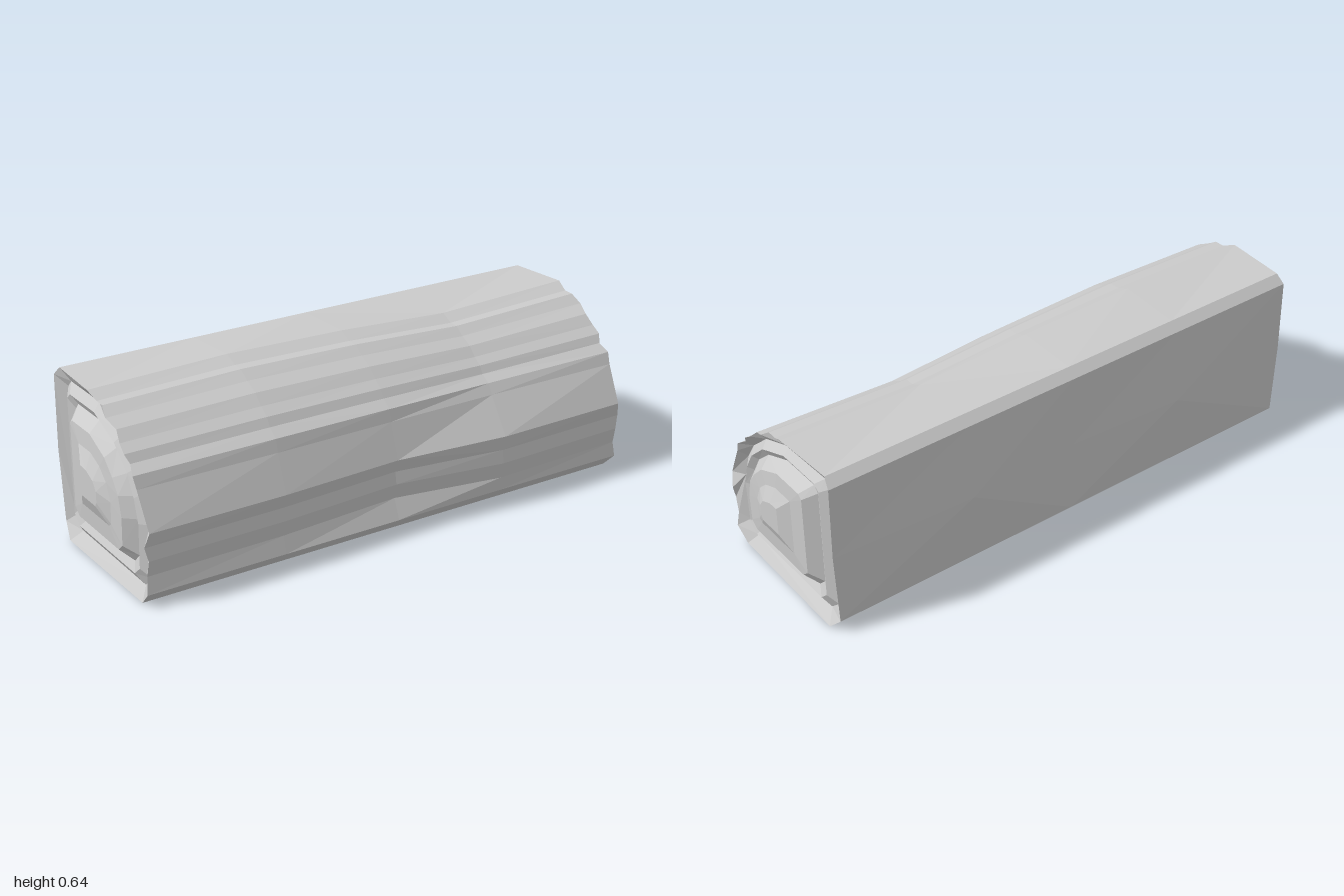
import * as THREE from 'three';

const CY = 0.31; // height of the log's core

// Cross-sections as [z, y] pairs, running bottom, back, top, then down the front bark.
const outline = [
  [0.26, 0], [-0.26, 0], [-0.31, 0.05], [-0.31, 0.32], [-0.31, 0.59], [-0.28, 0.622],
  [-0.05, 0.637], [0, 0.614], [0.04, 0.613], [0.08, 0.585], [0.13, 0.56], [0.165, 0.525],
  [0.2, 0.5], [0.218, 0.47], [0.255, 0.443], [0.272, 0.4], [0.337, 0.265], [0.322, 0.21],
  [0.327, 0.16], [0.314, 0.1], [0.31, 0.05],
];

// Growth rings on the sawn ends: distance from the middle and cross-section.
const rings = [
  [0.925, [[0.23, 0.042], [-0.225, 0.042], [-0.27, 0.085], [-0.27, 0.555], [-0.245, 0.58], [-0.04, 0.58],
    [0.11, 0.52], [0.2, 0.44], [0.245, 0.37], [0.277, 0.272], [0.272, 0.085]]],
  [0.948, [[0.2, 0.077], [-0.2, 0.077], [-0.235, 0.11], [-0.235, 0.53], [-0.212, 0.55], [-0.035, 0.55],
    [0.1, 0.495], [0.18, 0.42], [0.22, 0.35], [0.243, 0.27], [0.238, 0.11]]],
  [0.932, [[0.175, 0.107], [-0.172, 0.107], [-0.205, 0.14], [-0.205, 0.5], [-0.185, 0.522], [-0.03, 0.522],
    [0.09, 0.472], [0.16, 0.41], [0.197, 0.345], [0.215, 0.27], [0.208, 0.14]]],
  [0.973, [[0.145, 0.145], [-0.14, 0.145], [-0.168, 0.17], [-0.168, 0.47], [-0.152, 0.485], [-0.025, 0.485],
    [0.075, 0.44], [0.125, 0.39], [0.16, 0.34], [0.177, 0.27], [0.173, 0.17]]],
  [0.978, [[0.095, 0.21], [-0.102, 0.21], [-0.102, 0.425], [-0.015, 0.425], [0.045, 0.4], [0.088, 0.36],
    [0.113, 0.3], [0.11, 0.222]]],
  [1, [[0.045, 0.265], [-0.05, 0.265], [-0.05, 0.372], [-0.01, 0.37], [0.035, 0.35], [0.056, 0.32], [0.056, 0.28]]],
];

// Stations along the log: x, upper bark swell, lower bark swell, back bulge.
const stations = [
  [-0.955, -0.012, -0.018, 0],
  [-0.45, 0, -0.022, 0.025],
  [0, -0.01, -0.04, 0],
  [0.43, -0.032, 0, 0.025],
  [0.955, -0.012, -0.01, 0],
];

function barkLoop([x, upper, lower, back]) {
  const isEnd = Math.abs(x) > 0.9;
  return outline.map(([z, y], i) => {
    const bark = i > 5 && i < outline.length - 1;
    const t = THREE.MathUtils.clamp((y - 0.25) / 0.2, 0, 1);
    const k = bark ? 1 + THREE.MathUtils.lerp(lower, upper, t) / Math.hypot(z, y - CY) : 1;
    const wave = isEnd ? Math.sign(x) * 0.007 * Math.sin(i * 2.3) : 0;
    return new THREE.Vector3(x + wave, CY + (y - CY) * k, z * k - (i === 3 ? back : 0));
  });
}

// Angle of every point round the core, increasing, with the first repeated a full turn later.
function angles(loop) {
  const raw = loop.map((p) => Math.atan2(p.y - CY, -p.z));
  const out = raw.map((a) => (a < raw[0] ? a + Math.PI * 2 : a));
  return [...out, raw[0] + Math.PI * 2];
}

// Joins two loops with triangles, stepping round whichever lags behind.
function stitch(a, b, out) {
  const angA = angles(a), angB = angles(b);
  const na = a.length > 1 ? a.length : 0, nb = b.length > 1 ? b.length : 0;
  let i = 0, j = 0;
  while (i < na || j < nb) {
    const p = a[i % a.length], q = b[j % b.length];
    if (j >= nb || (i < na && angA[i + 1] <= angB[j + 1])) {
      i++;
      out.push(p, a[i % a.length], q);
    } else {
      j++;
      out.push(p, b[j % b.length], q);
    }
  }
}

function skin(name, loops) {
  const points = [];
  for (let i = 0; i + 1 < loops.length; i++) stitch(loops[i], loops[i + 1], points);
  const geometry = new THREE.BufferGeometry().setFromPoints(points);
  geometry.computeVertexNormals();
  const mesh = new THREE.Mesh(geometry, new THREE.MeshStandardMaterial({ color: 0xcccccc, flatShading: true }));
  mesh.name = name;
  return mesh;
}

export function createModel() {
  const group = new THREE.Group();
  group.name = 'splitLog';

  // Split faces and bark
  const body = stations.map(barkLoop);
  group.add(skin('bark', body));

  // Sawn ends with stepped growth rings, closed at the core
  const endLoops = (side) => [
    ...rings.map(([x, loop]) => loop.map(([z, y]) => new THREE.Vector3(side * x, y, z))),
    [new THREE.Vector3(side, 0.317, 0)],
  ];
  group.add(skin('leftEnd', [body[body.length - 1], ...endLoops(1)]));
  group.add(skin('rightEnd', [body[0], ...endLoops(-1)].reverse()));
  return group;
}
